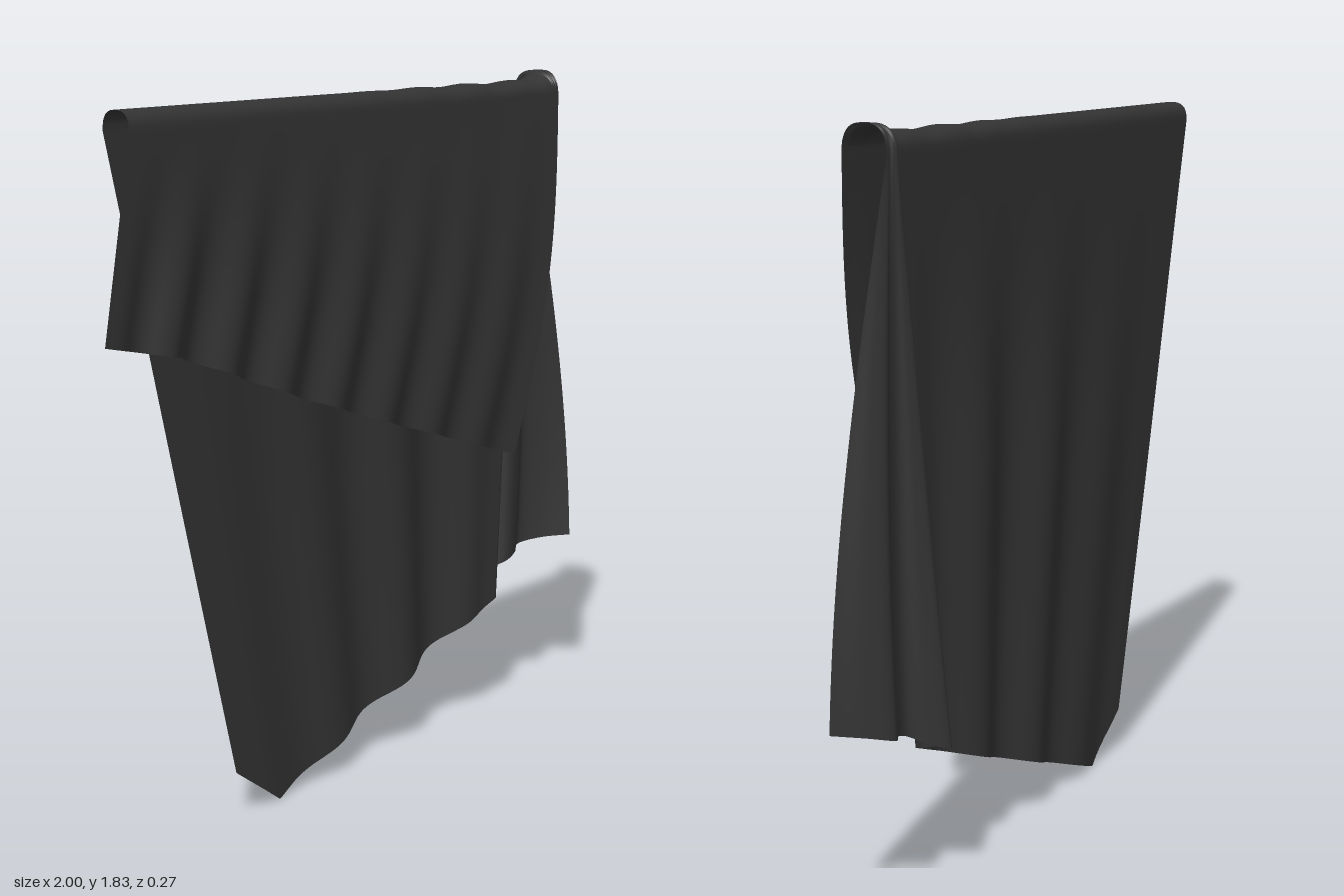
import * as THREE from 'three';

const { lerp, smoothstep } = THREE.MathUtils;
const V = (x, y, z) => new THREE.Vector3(x, y, z);
const TOP = 1.76; // height where the hanging panels meet the rounded top fold
const MAIN = 0.7; // share of the columns in the flat main panel, the rest form the gathered end

// Height along a polyline of [x, y] points
function heightAt(pts, x) {
  let i = 1;
  while (i < pts.length - 1 && x > pts[i][0]) i++;
  const [a, b] = [pts[i - 1], pts[i]];
  return lerp(a[1], b[1], (x - a[0]) / (b[0] - a[0]));
}

const frontHem = [[-1, 1.29], [-0.75, 1.235], [-0.3, 1.07], [0, 0.97], [0.57, 0.79]];
const backHem = [[-0.46, 0.12], [-0.29, 0], [0, 0.1], [0.3, 0.205], [0.66, 0.335]];

// Hem and top of the S-shaped gather at the right end
const gatherHem = new THREE.CatmullRomCurve3([
  V(0.66, 0.335, 0), V(0.682, 0.345, -0.03), V(0.685, 0.365, -0.1), V(0.715, 0.37, -0.132),
  V(0.755, 0.385, -0.1), V(0.79, 0.41, -0.055), V(0.84, 0.425, -0.06), V(0.895, 0.435, -0.088),
  V(0.95, 0.45, -0.045), V(1, 0.46, 0.025)]);
const gatherTop = new THREE.CatmullRomCurve3([
  V(0.75, TOP, -0.005), V(0.764, TOP, -0.012), V(0.766, TOP, -0.032), V(0.775, TOP, -0.04),
  V(0.785, TOP, -0.036), V(0.792, TOP, -0.03), V(0.8, TOP, -0.03), V(0.808, TOP, -0.03)]);

// Front flap: s runs from the top (0) to the hem (1)
function front(u, s) {
  const f = u < MAIN ? 0.985 * u / MAIN : lerp(0.985, 1, (u - MAIN) / (1 - MAIN));
  const hx = lerp(-1, 0.57, f);
  const bow = 0.03 * f * Math.sin(Math.PI * s);
  const x = lerp(lerp(-0.91, 0.765, f), hx, s) + bow;
  const amp = lerp(0.02, 0.008, f) * smoothstep(s, 0, 0.9);
  const ripple = amp * Math.cos((hx + 0.8) * Math.PI * 10) * smoothstep(f, 0, 0.1);
  const z = lerp(0.097, 0.115, f * f) + 0.022 * f * Math.sin(Math.PI * s) + ripple;
  return V(x, lerp(TOP, heightAt(frontHem, hx), s), z);
}

// Back panel: t runs from the top (0) to the hem (1)
function back(u, t) {
  if (u <= MAIN) {
    const a = u / MAIN;
    const hx = lerp(-0.46, 0.66, a);
    const amp = 0.045 * smoothstep(hx, -0.6, 0.3) * smoothstep(t, 0, 0.6) * (1 - smoothstep(hx, 0.5, 0.66));
    const wave = 0.5 + 0.5 * Math.cos((hx - 0.1) * Math.PI * 2 / 0.3);
    return V(lerp(lerp(-0.89, 0.75, a), hx, t), lerp(TOP, heightAt(backHem, hx), t), -0.005 - amp * wave + 0.005 * t * a);
  }
  const g = (u - MAIN) / (1 - MAIN);
  const p = gatherTop.getPoint(g).lerp(gatherHem.getPoint(g), t);
  // The loose outer edge bellies out sideways
  p.x += 0.2 * g * g * (Math.sin(t * Math.PI / 2) - t);
  return p;
}

// Rounded fold over the top, joining both panels
function over(u, v) {
  const a = front(u, 0), b = back(u, 0);
  const ang = v * Math.PI;
  const k = 0.5 - 0.5 * Math.sign(Math.cos(ang)) * Math.abs(Math.cos(ang)) ** 0.75;
  const p = a.lerp(b, k);
  const lift = 0.05 + 0.023 * smoothstep(p.x, 0.68, 0.78) + 0.003 * Math.sin(u * 70) * smoothstep(u, 0.3, 0.6);
  p.y = TOP + lift * Math.sin(ang) ** 0.75;
  return p;
}

// Grid surface from a point function of (u, v)
function sheet(name, fn, nu, nv, material) {
  const pos = [], idx = [];
  for (let j = 0; j <= nv; j++) {
    for (let i = 0; i <= nu; i++) {
      pos.push(...fn(i / nu, j / nv).toArray());
      if (i < nu && j < nv) {
        const a = j * (nu + 1) + i, c = a + nu + 1;
        idx.push(a, a + 1, c, a + 1, c + 1, c);
      }
    }
  }
  const geo = new THREE.BufferGeometry();
  geo.setAttribute('position', new THREE.Float32BufferAttribute(pos, 3));
  geo.setIndex(idx);
  geo.computeVertexNormals();
  const mesh = new THREE.Mesh(geo, material);
  mesh.name = name;
  return mesh;
}

export function createModel() {
  const group = new THREE.Group();
  group.name = 'drapedCloth';
  const cloth = new THREE.MeshStandardMaterial({ color: 0x333333, side: THREE.DoubleSide });
  group.add(
    sheet('frontFlap', (u, v) => front(u, 1 - v), 240, 30, cloth),
    sheet('topFold', over, 240, 20, cloth),
    sheet('backPanel', back, 240, 50, cloth));
  return group;
}
